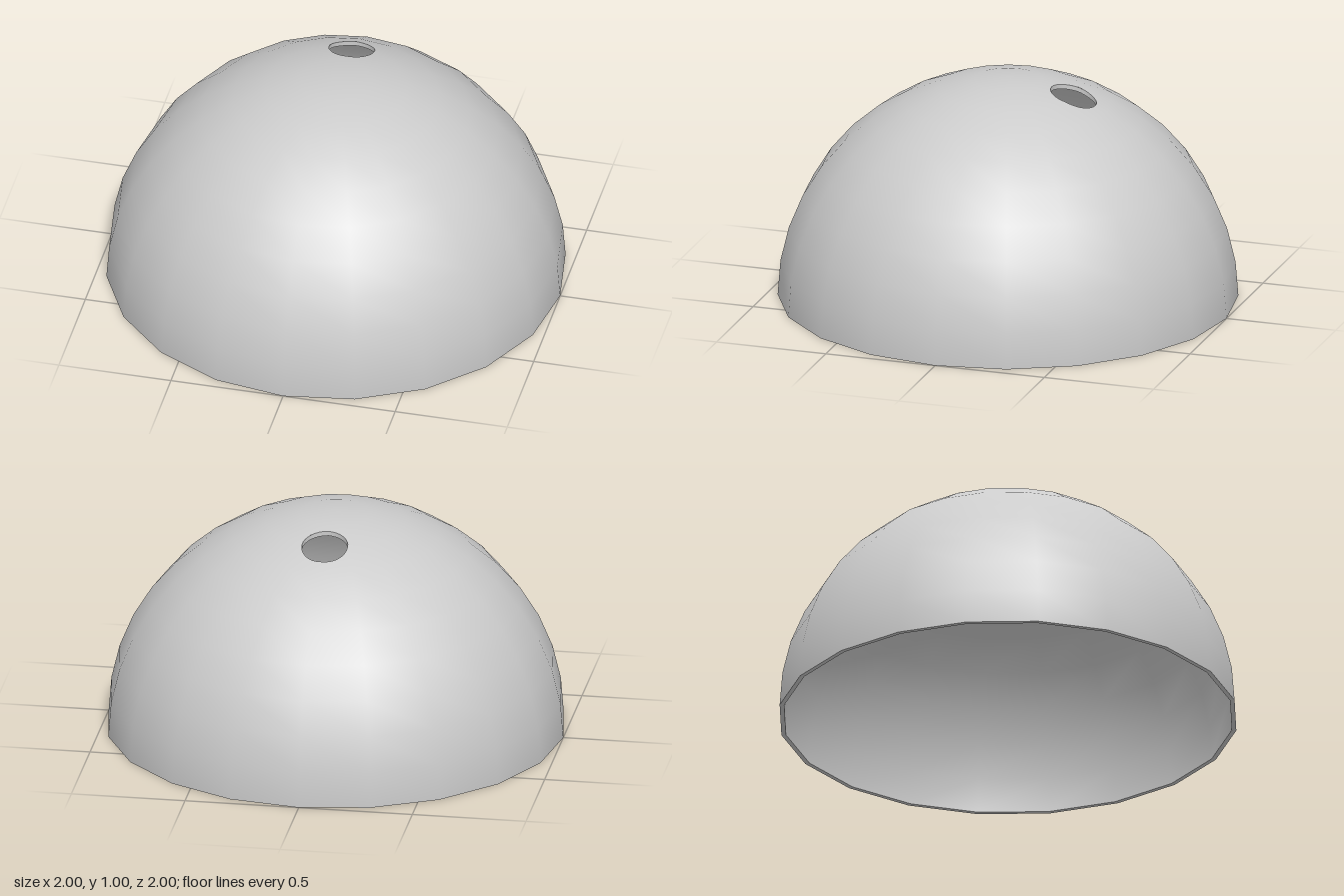
import * as THREE from 'three';

const SIDES = 20, RINGS = 10, OUTER = 1, INNER = 0.98;
const HOLE = { x: 0, z: -0.3, r: 0.1, n: 32 };
const STEP = (Math.PI * 2) / HOLE.n;

const material = new THREE.MeshStandardMaterial({ color: 0xcccccc });

function addMesh(group, name, geometry) {
  const mesh = new THREE.Mesh(geometry, material);
  mesh.name = name;
  group.add(mesh);
}

// Signed distance of a point, in plan, beyond side k of the hole
function beyond(p, k) {
  const a = (k + 0.5) * STEP;
  return (p.x - HOLE.x) * Math.cos(a) + (p.z - HOLE.z) * Math.sin(a) - HOLE.r * Math.cos(STEP / 2);
}

// Split a convex polygon along side k into the parts outside and inside it
function split(poly, k) {
  const out = [], rest = [];
  poly.forEach((p, i) => {
    const q = poly[(i + 1) % poly.length];
    const s = beyond(p, k), t = beyond(q, k);
    (s > 0 ? out : rest).push(p);
    if (s > 0 !== t > 0) {
      const m = p.clone().lerp(q, s / (s - t));
      out.push(m);
      rest.push(m);
    }
  });
  return [out, rest];
}

// Faceted hemisphere with a vertical round hole; also returns the hole's rim heights
function piercedDome(radius, inward) {
  const sphere = new THREE.SphereGeometry(radius, SIDES, RINGS, 0, Math.PI * 2, 0, Math.PI / 2).toNonIndexed();
  const source = sphere.attributes.position;
  const positions = [], normals = [], rim = [];
  const sign = inward ? -1 : 1;

  const emit = (poly) => {
    for (let i = 1; i < poly.length - 1; i++) {
      const tri = inward ? [poly[0], poly[i + 1], poly[i]] : [poly[0], poly[i], poly[i + 1]];
      for (const p of tri) {
        positions.push(p.x, p.y, p.z);
        const n = p.clone().normalize().multiplyScalar(sign);
        normals.push(n.x, n.y, n.z);
      }
    }
  };

  for (let i = 0; i < source.count; i += 3) {
    const triangle = [0, 1, 2].map((j) => new THREE.Vector3().fromBufferAttribute(source, i + j));
    const pieces = [];
    let rest = triangle;
    for (let k = 0; k < HOLE.n && rest.length > 2; k++) {
      const [out, inside] = split(rest, k);
      if (out.length > 2) pieces.push(out);
      rest = inside;
    }
    if (rest.length < 3) {
      emit(triangle);
      continue;
    }
    pieces.forEach(emit);
    // Corners of the removed piece that lie on the hole's edge
    for (const p of rest) {
      const dx = p.x - HOLE.x, dz = p.z - HOLE.z;
      if (Math.hypot(dx, dz) > HOLE.r - 1e-5) {
        rim[(Math.round(Math.atan2(dz, dx) / STEP) + HOLE.n) % HOLE.n] = p.y;
      }
    }
  }

  const geometry = new THREE.BufferGeometry();
  geometry.setAttribute('position', new THREE.Float32BufferAttribute(positions, 3));
  geometry.setAttribute('normal', new THREE.Float32BufferAttribute(normals, 3));
  return { geometry, rim };
}

// Wall through the shell thickness around the hole
function holeWall(top, bottom) {
  const positions = [], normals = [], index = [];
  for (let k = 0; k <= HOLE.n; k++) {
    const c = Math.cos(k * STEP), s = Math.sin(k * STEP);
    for (const heights of [top, bottom]) {
      positions.push(HOLE.x + HOLE.r * c, heights[k % HOLE.n], HOLE.z + HOLE.r * s);
      normals.push(-c, 0, -s);
    }
    const a = k * 2;
    if (k < HOLE.n) index.push(a, a + 1, a + 2, a + 2, a + 1, a + 3);
  }
  const geometry = new THREE.BufferGeometry();
  geometry.setAttribute('position', new THREE.Float32BufferAttribute(positions, 3));
  geometry.setAttribute('normal', new THREE.Float32BufferAttribute(normals, 3));
  geometry.setIndex(index);
  return geometry;
}

export function createModel() {
  const group = new THREE.Group();
  group.name = 'dome';

  const outer = piercedDome(OUTER, false);
  const inner = piercedDome(INNER, true);
  addMesh(group, 'outerShell', outer.geometry);
  addMesh(group, 'innerShell', inner.geometry);
  addMesh(group, 'holeWall', holeWall(outer.rim, inner.rim));

  // Flat bottom edge joining the two shells
  addMesh(group, 'bottomRim', new THREE.RingGeometry(INNER, OUTER, SIDES).rotateX(Math.PI / 2));

  return group;
}
